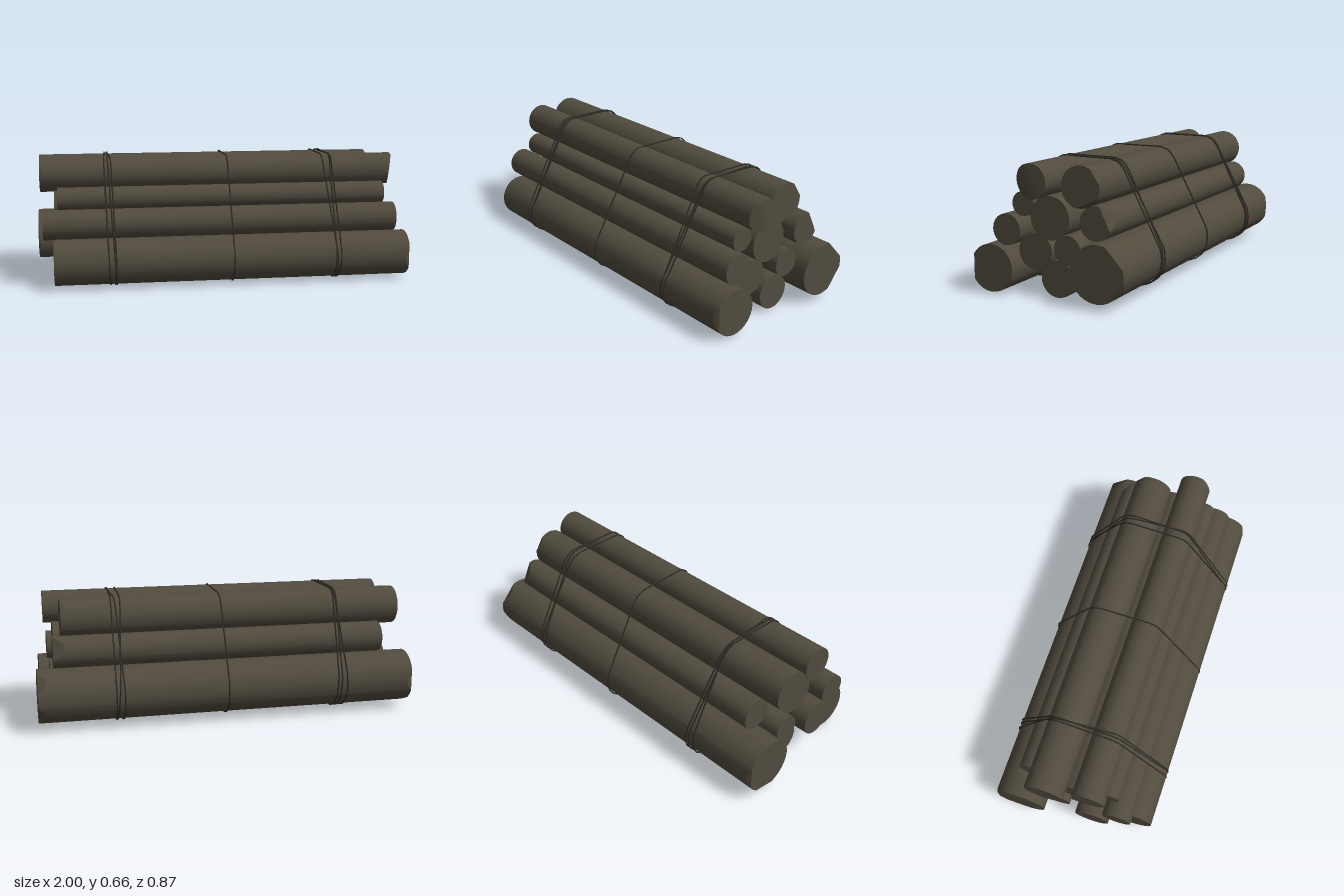
import * as THREE from 'three';
import { toCreasedNormals } from 'three/addons/utils/BufferGeometryUtils.js';
import { ConvexGeometry } from 'three/addons/geometries/ConvexGeometry.js';

const SIDES = 28;

// Log centre (z, y), radius, ends along x, and chamfers cut into each end.
// A cut is [angle in degrees from -z towards +y, chord distance / radius, depth].
const LOGS = [
  { z: 0.1, y: 0.565, r: 0.087, x: [-0.95, 0.945], right: [[200, 0.1, 0.025]] },
  { z: -0.127, y: 0.542, r: 0.104, x: [-0.98, 0.865], right: [[34, 0.91, 0.03], [-66, 0.79, 0.04]] },
  { z: 0.182, y: 0.444, r: 0.061, x: [-0.88, 0.88] },
  { z: 0.02, y: 0.39, r: 0.107, x: [-0.9, 0.9] },
  { z: -0.233, y: 0.387, r: 0.083, x: [-0.86, 0.913], right: [[26, 0.66, 0.06]] },
  { z: 0.25, y: 0.32, r: 0.078, x: [-0.955, 0.925] },
  { z: 0.116, y: 0.217, r: 0.093, x: [-0.972, 0.88] },
  { z: -0.088, y: 0.249, r: 0.072, x: [-0.94, 0.925] },
  { z: 0.31, y: 0.133, r: 0.119, x: [-0.9, 0.972], right: [[180, 0.85, 0.025]] },
  { z: -0.024, y: 0.099, r: 0.091, x: [-0.88, 0.905] },
  { z: -0.285, y: 0.173, r: 0.139, x: [-1, 1], right: [[43, 0.88, 0.04], [-38, 0.89, 0.04]], left: [[-80, 0.9, 0.03], [0, 0.9, 0.03]] },
];

// Outline of the bundle (z, y) that the ropes follow
const OUTLINE = [
  [0.12, 0.653], [-0.148, 0.65], [-0.194, 0.635], [-0.227, 0.595], [-0.422, 0.223], [-0.429, 0.17],
  [-0.422, 0.116], [-0.392, 0.072], [-0.357, 0.047], [-0.315, 0.033], [-0.024, 0.005], [0.345, 0.014],
  [0.387, 0.037], [0.422, 0.084], [0.43, 0.13], [0.422, 0.172], [0.171, 0.619], [0.15, 0.642],
];

// Ropes: x at the middle, lean with height, lean with depth
const ROPES = [
  [-0.615, -0.03, -0.015], [-0.592, -0.04, -0.01], [-0.605, 0, 0.02],
  [0.025, 0, 0],
  [0.573, -0.045, -0.01], [0.592, 0.01, -0.02], [0.585, 0.015, 0.015],
];

// Rim of one log end, pushed inward past each cut's chord
function rim(log, end, dir, cuts) {
  const angles = [];
  for (let i = 0; i < SIDES; i++) angles.push((i / SIDES) * Math.PI * 2);
  for (const [deg, c] of cuts) {
    const mid = THREE.MathUtils.degToRad(deg);
    angles.push(mid - Math.acos(c), mid + Math.acos(c));
  }
  return angles.map((a) => {
    let inset = 0;
    for (const [deg, c, depth] of cuts) {
      const u = Math.cos(a - THREE.MathUtils.degToRad(deg));
      inset = Math.max(inset, (depth * (u - c)) / (1 - c));
    }
    return new THREE.Vector3(end - dir * inset, log.y + log.r * Math.sin(a), log.z - log.r * Math.cos(a));
  });
}

function logGeometry(log) {
  const points = [
    ...rim(log, log.x[0], -1, log.left ?? []),
    ...rim(log, log.x[1], 1, log.right ?? []),
  ];
  return toCreasedNormals(new ConvexGeometry(points), 0.35);
}

function ropeGeometry([x, leanY, leanZ]) {
  const points = OUTLINE.map(([z, y]) => new THREE.Vector3(x + leanY * (y - 0.33) / 0.66 + leanZ * z / 0.43, y, z));
  // zero tension keeps the spans between corners straight
  const path = new THREE.CatmullRomCurve3(points, true, 'catmullrom', 0);
  return new THREE.TubeGeometry(path, 120, 0.004, 6, true);
}

export function createModel() {
  const model = new THREE.Group();
  model.name = 'logBundle';
  const wood = new THREE.MeshStandardMaterial({ color: 0x514b3e });
  wood.name = 'wood';
  const cord = new THREE.MeshStandardMaterial({ color: 0x2e2b25 });
  cord.name = 'cord';

  // Stacked logs
  LOGS.forEach((log, i) => {
    const mesh = new THREE.Mesh(logGeometry(log), wood);
    mesh.name = `log${i + 1}`;
    model.add(mesh);
  });

  // Binding ropes
  ROPES.forEach((rope, i) => {
    const mesh = new THREE.Mesh(ropeGeometry(rope), cord);
    mesh.name = `rope${i + 1}`;
    model.add(mesh);
  });

  return model;
}
